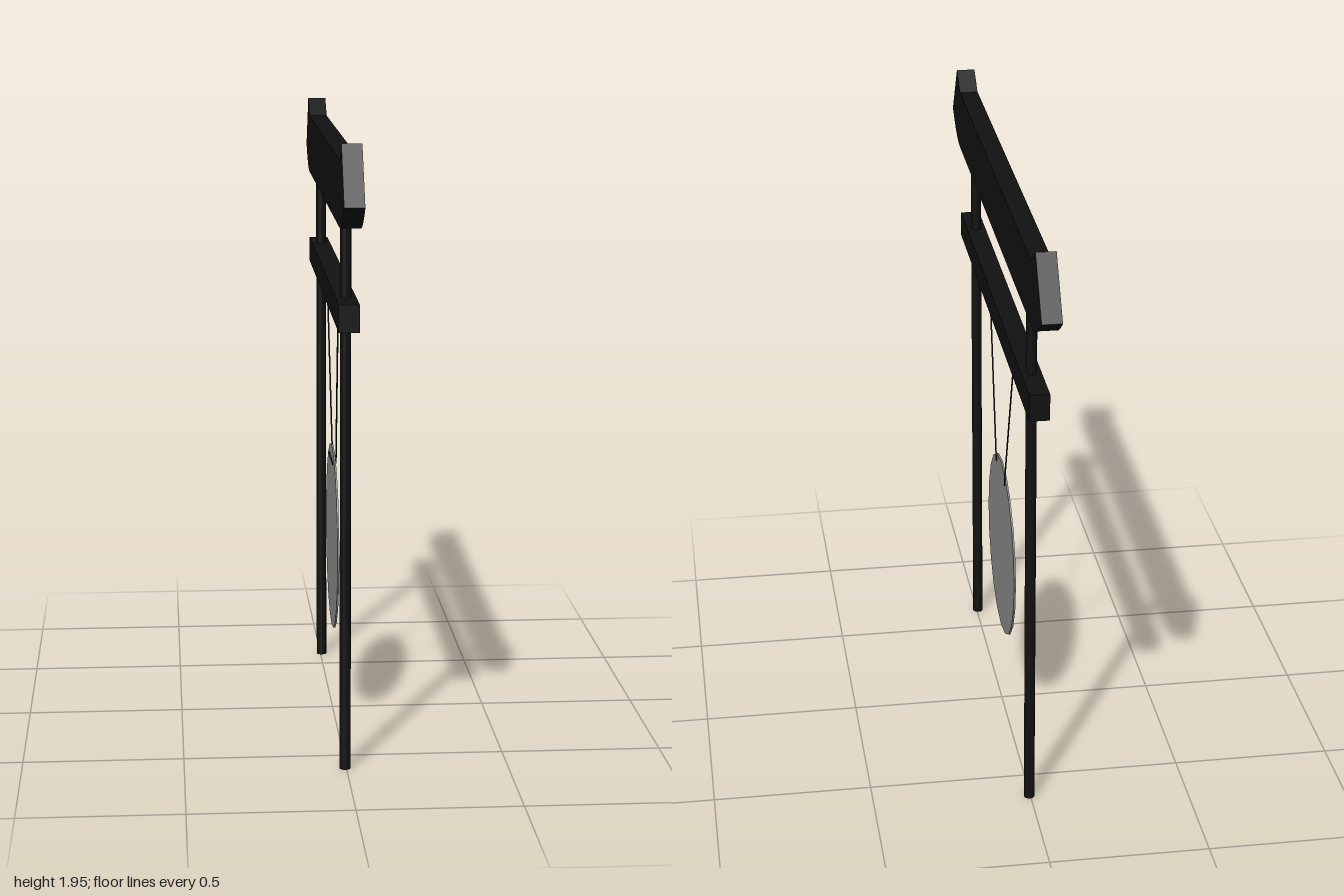
import * as THREE from 'three';

export function createModel() {
  const model = new THREE.Group();
  model.name = 'gongStand';
  const black = new THREE.MeshStandardMaterial({ color: 0x111111, flatShading: true });
  const ropeMaterial = new THREE.MeshStandardMaterial({ color: 0x111111 });
  const grey = new THREE.MeshStandardMaterial({ color: 0x888888, flatShading: true });

  const add = (name, geometry, material, x = 0, y = 0, z = 0) => {
    const mesh = new THREE.Mesh(geometry, material);
    mesh.name = name;
    mesh.position.set(x, y, z);
    model.add(mesh);
    return mesh;
  };

  // Top beam with upswept ends: profile in length and height, extruded across
  const profile = new THREE.Shape();
  profile.moveTo(-0.81, 1.7);
  profile.lineTo(0.81, 1.7);
  profile.quadraticCurveTo(0.9, 1.7, 1, 1.78);
  profile.lineTo(0.88, 1.95);
  profile.lineTo(0.8, 1.895);
  profile.lineTo(-0.8, 1.895);
  profile.lineTo(-0.88, 1.95);
  profile.lineTo(-1, 1.78);
  profile.quadraticCurveTo(-0.9, 1.7, -0.81, 1.7);
  const topBeam = new THREE.ExtrudeGeometry(profile, { depth: 0.06, bevelEnabled: false, curveSegments: 5 });
  topBeam.translate(0, 0, -0.03).rotateY(-Math.PI / 2);
  add('topBeam', topBeam, black);

  // Straight beam that carries the gong
  add('crossBeam', new THREE.BoxGeometry(0.062, 0.083, 1.57), black, 0, 1.43, 0);

  // Gong: thin twenty-sided disc facing sideways
  const disc = new THREE.CylinderGeometry(0.303, 0.303, 0.006, 20);
  disc.rotateZ(Math.PI / 2);
  add('gong', disc, grey, 0, 0.587, 0);

  // Posts and hanging ropes, mirrored front to back
  for (const side of [1, -1]) {
    const label = side > 0 ? 'front' : 'back';
    add(label + 'Post', new THREE.CylinderGeometry(0.017, 0.017, 1.72, 12), black, 0, 0.86, side * 0.623);

    // Each rope reaches the gong and passes through it
    const path = new THREE.CurvePath();
    const points = [[0, 1.4, 0.282], [0.005, 0.875, 0.102], [0.005, 0.845, 0.095], [-0.005, 0.845, 0.095]]
      .map(([x, y, z]) => new THREE.Vector3(x, y, z * side));
    for (let i = 1; i < points.length; i++) path.add(new THREE.LineCurve3(points[i - 1], points[i]));
    add(label + 'Rope', new THREE.TubeGeometry(path, 80, 0.0025, 6), ropeMaterial);
  }

  // Rope joining the two holes behind the gong
  const link = new THREE.CylinderGeometry(0.0025, 0.0025, 0.19, 6);
  link.rotateX(Math.PI / 2);
  add('ropeLink', link, ropeMaterial, -0.005, 0.845, 0);

  // The frame stands very slightly turned
  model.rotation.y = -0.0065;
  return model;
}
